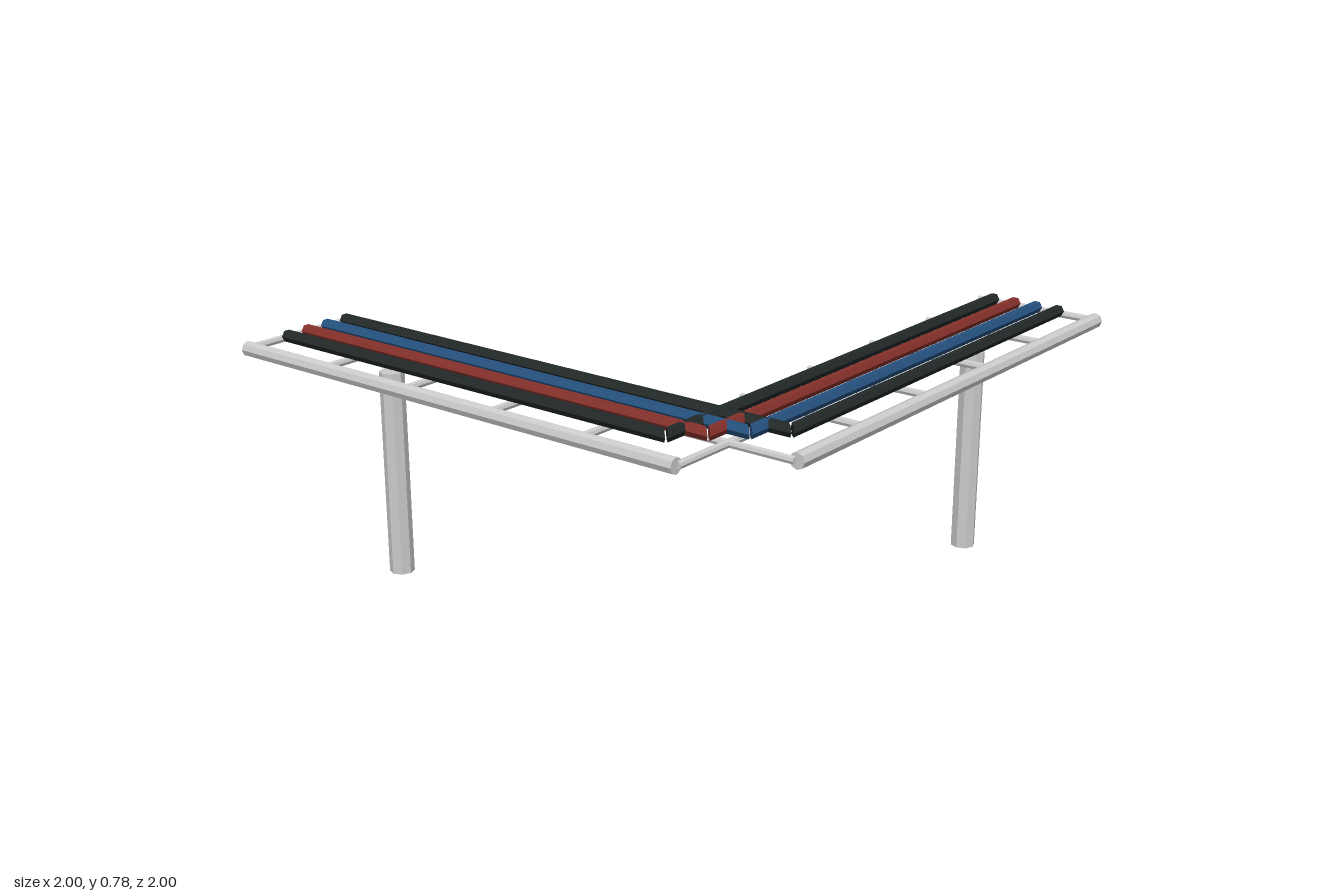
import * as THREE from 'three';

const paint = (color) => new THREE.MeshStandardMaterial({ color, flatShading: true });
const GREY = paint(0xcccccc), BLACK = paint(0x222828), RED = paint(0x85302a), BLUE = paint(0x24517f);

// Straight rod centred on the origin, lying along 'x', 'y' or 'z'
function rodGeometry(axis, length, radius, sides) {
  const g = new THREE.CylinderGeometry(radius, radius, length, sides);
  if (axis === 'x') g.rotateZ(-Math.PI / 2);
  if (axis === 'z') g.rotateY(Math.PI / 2).rotateX(Math.PI / 2);
  return g;
}

// Slants the + end of a cable so that two cables meet in a mitred corner
function mitre(g, axis) {
  const p = g.attributes.position;
  for (let i = 0; i < p.count; i++) {
    if (axis === 'x' && p.getX(i) > 0) p.setX(i, p.getX(i) + p.getZ(i));
    if (axis === 'z' && p.getZ(i) > 0) p.setZ(i, p.getZ(i) + p.getX(i));
  }
  g.computeVertexNormals();
  return g;
}

// One arm of the L; along is its running axis, the other arm is its x/z mirror
function createArm(along, cableColors) {
  const arm = new THREE.Group();
  const across = along === 'x' ? 'z' : 'x';
  const add = (name, geometry, material, a, y, c) => {
    const mesh = new THREE.Mesh(geometry, material);
    mesh.name = name;
    mesh.position.y = y;
    mesh.position[along] = a;
    mesh.position[across] = c;
    arm.add(mesh);
  };

  // outer rail
  add('rail', rodGeometry(along, 1.733, 0.025, 8), GREY, -0.121, 0.73, 0.973);

  // cross rungs
  for (let i = 0; i < 6; i++) {
    add('rung', rodGeometry(across, 0.435, 0.0125, 8), GREY, -0.9875 + i * 0.3466, 0.73, 0.75);
  }

  // cables, each running up to its corner
  cableColors.forEach((material, i) => {
    const start = -0.917, end = 0.866 - i * 0.081, side = 0.629 + i * 0.081;
    const g = mitre(rodGeometry(along, end - start, 0.02, 6), along);
    add('cable', g, material, (start + end) / 2, 0.762, side);
  });

  // support post
  add('post', rodGeometry('y', 0.68, 0.04, 8), GREY, -0.575, 0.34, 0.747);
  return arm;
}

export function createModel() {
  const model = new THREE.Group();
  model.name = 'cableTray';
  const front = createArm('x', [BLACK, BLUE, RED, BLACK]);
  front.name = 'frontArm';
  const left = createArm('z', [BLACK, RED, BLUE, BLACK]);
  left.name = 'leftArm';
  model.add(front, left);
  return model;
}
